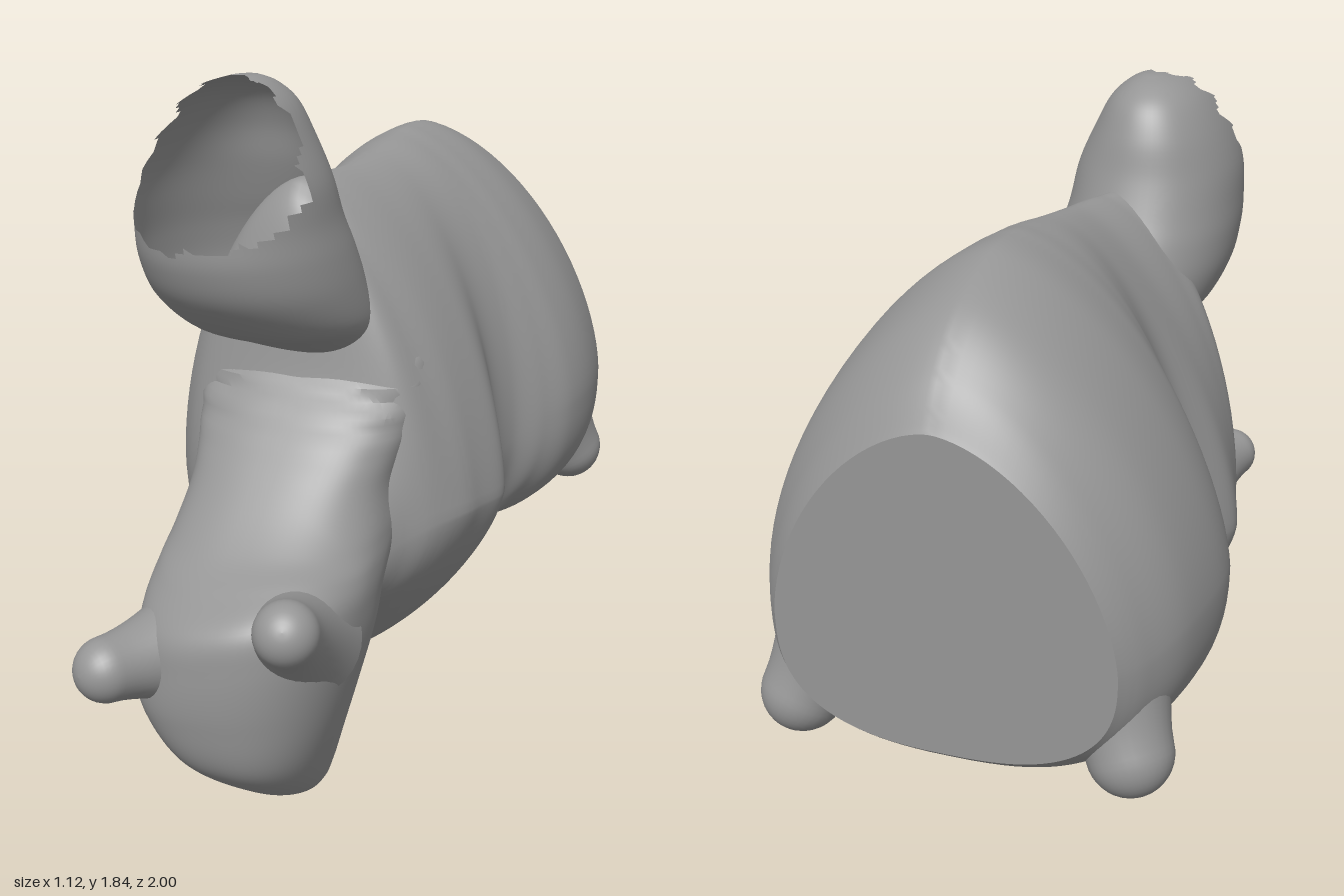
import * as THREE from 'three';
import { toCreasedNormals } from 'three/addons/utils/BufferGeometryUtils.js';

const material = new THREE.MeshStandardMaterial({ color: 0x969696, side: THREE.DoubleSide });

// Catmull-Rom blend of rows of numbers, t in 0..1
function blend(rows, t) {
  const n = rows.length - 1;
  const i = Math.min(Math.floor(t * n), n - 1);
  const f = t * n - i;
  const [a, b, c, d] = [rows[Math.max(i - 1, 0)], rows[i], rows[i + 1], rows[Math.min(i + 2, n)]];
  return b.map((_, k) => b[k] + 0.5 * f * (c[k] - a[k]
    + f * (2 * a[k] - 5 * b[k] + 4 * c[k] - d[k] + f * (3 * (b[k] - c[k]) + d[k] - a[k]))));
}

const power = (v, p) => Math.sign(v) * Math.abs(v) ** (2 / p);

// Skin over rings: place(row, cos, sin) gives a point, keep(point) trims the surface
function loft(name, rows, place, { steps = 72, sides = 80, keep = () => true } = {}) {
  const points = [];
  const index = [];
  for (let i = 0; i <= steps; i++) {
    const row = blend(rows, i / steps);
    for (let j = 0; j < sides; j++) {
      const a = (j / sides) * Math.PI * 2;
      points.push(place(row, Math.cos(a), Math.sin(a)));
    }
  }
  const face = (a, b, c) => {
    if ([a, b, c].every((k) => keep(points[k]))) index.push(a, b, c);
  };
  for (let i = 0; i < steps; i++) {
    for (let j = 0; j < sides; j++) {
      const k = (j + 1) % sides;
      const [a, b, c, d] = [i * sides + j, i * sides + k, (i + 1) * sides + j, (i + 1) * sides + k];
      face(a, b, c);
      face(b, d, c);
    }
  }
  // end caps
  for (const start of [0, steps * sides]) {
    const mid = new THREE.Vector3();
    for (let j = 0; j < sides; j++) mid.addScaledVector(points[start + j], 1 / sides);
    const m = points.push(mid) - 1;
    for (let j = 0; j < sides; j++) {
      const [a, b] = [start + j, start + ((j + 1) % sides)];
      if (start) face(m, a, b);
      else face(m, b, a);
    }
  }
  const geometry = new THREE.BufferGeometry().setFromPoints(points);
  geometry.setIndex(index);
  const mesh = new THREE.Mesh(toCreasedNormals(geometry, 0.5), material);
  mesh.name = name;
  return mesh;
}

// Stub that flares at its root and ends in a round tip
function stub(name, from, to, rootRadius, tipRadius) {
  const root = new THREE.Vector3(...from);
  const axis = new THREE.Vector3(...to).sub(root);
  const length = axis.length();
  const profile = [];
  for (let i = 0; i <= 10; i++) {
    const t = i / 10;
    profile.push(new THREE.Vector2(tipRadius + (rootRadius - tipRadius) * (1 - t) ** 1.5, t * length));
  }
  for (let i = 1; i <= 10; i++) {
    const a = (i / 10) * Math.PI / 2;
    profile.push(new THREE.Vector2(tipRadius * Math.cos(a), length + tipRadius * Math.sin(a)));
  }
  const mesh = new THREE.Mesh(new THREE.LatheGeometry(profile, 32), material);
  mesh.position.copy(root);
  mesh.quaternion.setFromUnitVectors(new THREE.Vector3(0, 1, 0), axis.normalize());
  mesh.name = name;
  return mesh;
}

// Horizontal ring from [y, xMin, xMax, zBack, zFront]
function level([y, x0, x1, z0, z1], c, s, p) {
  return new THREE.Vector3(
    (x0 + x1) / 2 + ((x1 - x0) / 2) * power(c, p), y,
    (z0 + z1) / 2 - ((z1 - z0) / 2) * power(s, p));
}

export function createModel() {
  const model = new THREE.Group();

  // Barrel body: [z, halfWidth, bottom, widestY, top, upperPower, lowerPower, topShift]
  const body = [
    [-1, 0.42, 0.51, 0.8, 1.33, 1.7, 2.6, 0.01],
    [-0.93, 0.47, 0.46, 0.8, 1.44, 1.65, 2.6, 0.01],
    [-0.8, 0.53, 0.44, 0.83, 1.55, 1.6, 2.6, 0.01],
    [-0.6, 0.56, 0.41, 0.84, 1.615, 1.55, 2.5, 0.015],
    [-0.45, 0.54, 0.4, 0.83, 1.62, 1.55, 2.4, 0.015],
    [-0.36, 0.48, 0.39, 0.8, 1.61, 1.65, 2.2, 0.015],
    [-0.28, 0.41, 0.25, 0.76, 1.6, 1.8, 1.8, 0.015],
    [-0.17, 0.4, 0.18, 0.72, 1.585, 1.7, 1.6, 0.01],
    [-0.03, 0.46, 0.155, 0.7, 1.57, 1.53, 1.4, 0],
    [0.1, 0.435, 0.18, 0.7, 1.565, 1.55, 1.4, -0.03],
    [0.18, 0.405, 0.25, 0.7, 1.55, 1.6, 1.5, -0.06],
    [0.25, 0.36, 0.33, 0.69, 1.42, 1.75, 1.7, -0.04],
    [0.31, 0.3, 0.37, 0.66, 1.04, 2.1, 1.9, -0.02],
    [0.38, 0.25, 0.41, 0.62, 0.88, 2.1, 2, 0],
  ];
  model.add(loft('body', body, ([z, w, lo, mid, hi, up, down, shift], c, s) => {
    const q = s > 0 ? up : down;
    const y = mid + (s > 0 ? hi - mid : mid - lo) * power(s, q);
    // slanting skin folds behind the shoulder
    const fold = 1 + 0.01 * Math.sin(26 * (z + 0.15 * y)) * Math.exp(-(((z + 0.05) / 0.2) ** 2));
    return new THREE.Vector3(w * fold * power(c, q) + shift * Math.max(0, s), y, z);
  }, { steps: 117, sides: 96 }));

  // Lowered head and sloping neck, its muzzle tilted to one side
  const head = [
    [0.005, 0.04, 0.09, 0.47, 0.53],
    [0.03, -0.02, 0.15, 0.42, 0.61],
    [0.09, -0.09, 0.18, 0.38, 0.72],
    [0.2, -0.2, 0.215, 0.33, 0.84],
    [0.34, -0.275, 0.255, 0.3, 0.88],
    [0.48, -0.285, 0.285, 0.25, 0.885],
    [0.58, -0.285, 0.29, 0.2, 0.865],
    [0.65, -0.28, 0.285, 0.14, 0.77],
    [0.71, -0.28, 0.275, 0.08, 0.67],
    [0.82, -0.28, 0.26, 0.02, 0.54],
    [0.96, -0.31, 0.29, 0, 0.4],
    [1.1, -0.32, 0.3, 0, 0.28],
    [1.22, -0.25, 0.22, 0, 0.22],
  ];
  model.add(loft('headAndNeck', head, (row, c, s) => {
    const v = level(row, c, s, 2.4);
    const creases = Math.exp(-(((v.y - 1.04) / 0.1) ** 2)) * Math.min(1, Math.abs(v.x) / 0.2);
    if (s < 0) v.z += 0.008 * creases * Math.sin(95 * v.y + 8 * Math.abs(v.x));
    const tilt = THREE.MathUtils.smoothstep(v.z, 0.55, 0.85) * THREE.MathUtils.smoothstep(v.y, 0.2, 0.55);
    v.y += 0.24 * v.x * tilt;
    return v;
  }, { steps: 100 }));

  // Two blunt knobs growing out of the muzzle
  model.add(stub('leftKnob', [0.15, 0.51, 0.64], [0.228, 0.648, 0.885], 0.155, 0.08));
  model.add(stub('rightKnob', [-0.135, 0.45, 0.66], [-0.24, 0.475, 0.915], 0.165, 0.082));

  // Raised hollow hood, torn open toward the front
  const hood = [
    [1.125, -0.04, 0.08, 0.1, 0.26],
    [1.15, -0.13, 0.13, 0.05, 0.34],
    [1.19, -0.215, 0.165, 0.03, 0.44],
    [1.24, -0.28, 0.18, 0.03, 0.56],
    [1.33, -0.325, 0.175, 0.05, 0.665],
    [1.42, -0.34, 0.16, 0.08, 0.71],
    [1.5, -0.34, 0.14, 0.115, 0.72],
    [1.6, -0.33, 0.12, 0.15, 0.72],
    [1.7, -0.295, 0.075, 0.175, 0.7],
    [1.78, -0.245, 0.03, 0.215, 0.63],
    [1.825, -0.19, -0.02, 0.275, 0.54],
    [1.845, -0.13, -0.065, 0.34, 0.44],
  ];
  const tear = [[1.47, 0.75], [1.5, 0.66], [1.54, 0.58], [1.63, 0.5], [1.75, 0.45], [1.86, 0.41]];
  model.add(loft('hood', hood, (row, c, s) => level(row, c, s, 2.1), {
    steps: 64,
    sides: 72,
    keep: (v) => {
      if (v.y < tear[0][0]) return true;
      const k = tear.findIndex(([y]) => y > v.y);
      const [[y0, z0], [y1, z1]] = [tear[k - 1], tear[k]];
      const ragged = 0.018 * Math.sin(41 * v.x + 67 * v.y) + 0.012 * Math.sin(97 * v.x);
      return v.z < z0 + ((z1 - z0) * (v.y - y0)) / (y1 - y0) + ragged;
    },
  }));

  // Short hind feet
  for (const [name, side] of [['leftHindFoot', 1], ['rightHindFoot', -1]]) {
    model.add(stub(name, [side * 0.31, 0.8, -0.79], [side * 0.42, 0.54, -0.895], 0.2, 0.105));
  }
  return model;
}
